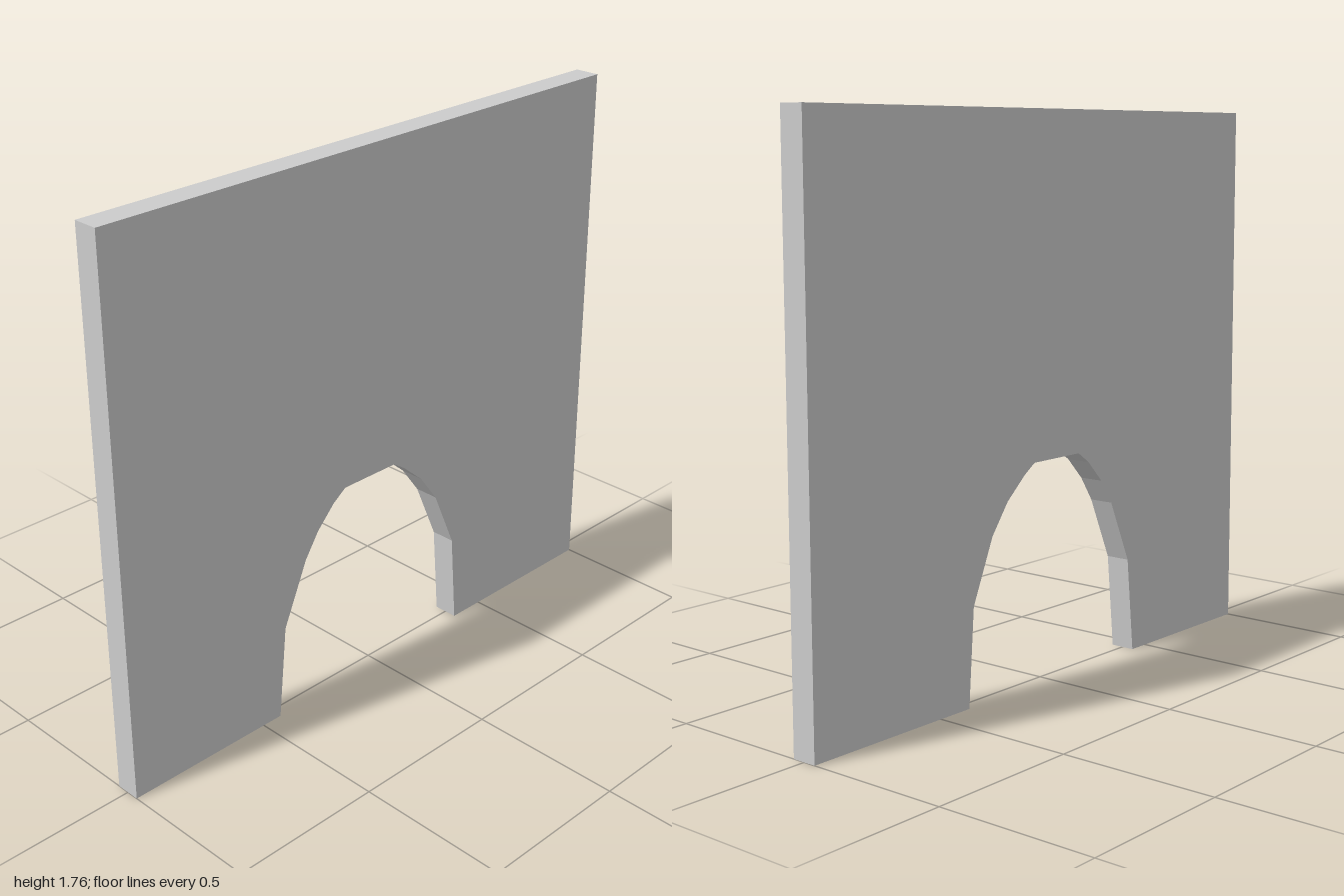
import * as THREE from 'three';

const HEIGHT = 1.765;
const DEPTH = 0.082;

// Faceted archway outline, from its foot at -x over the crown to its foot at +x
const ARCH = [
  [-0.43, 0], [-0.4, 0.31], [-0.31, 0.515], [-0.257, 0.595], [-0.19, 0.665], [-0.14, 0.7],
  [0.075, 0.7], [0.12, 0.67], [0.2, 0.6], [0.27, 0.505], [0.355, 0.307], [0.377, 0],
];

export function createModel() {
  const group = new THREE.Group();
  group.name = 'archedWall';

  // Wall panel with the archway cut up from its bottom edge
  const outline = [[1, 0], [1, HEIGHT], [-1, HEIGHT], [-1, 0], ...ARCH];
  const shape = new THREE.Shape(outline.map(([x, y]) => new THREE.Vector2(x, y)));
  const geometry = new THREE.ExtrudeGeometry(shape, { depth: DEPTH, bevelEnabled: false });
  geometry.translate(0, 0, -DEPTH / 2);

  const wall = new THREE.Mesh(
    geometry,
    new THREE.MeshStandardMaterial({ color: 0xcccccc, flatShading: true }),
  );
  wall.name = 'wallPanel';
  group.add(wall);
  return group;
}
